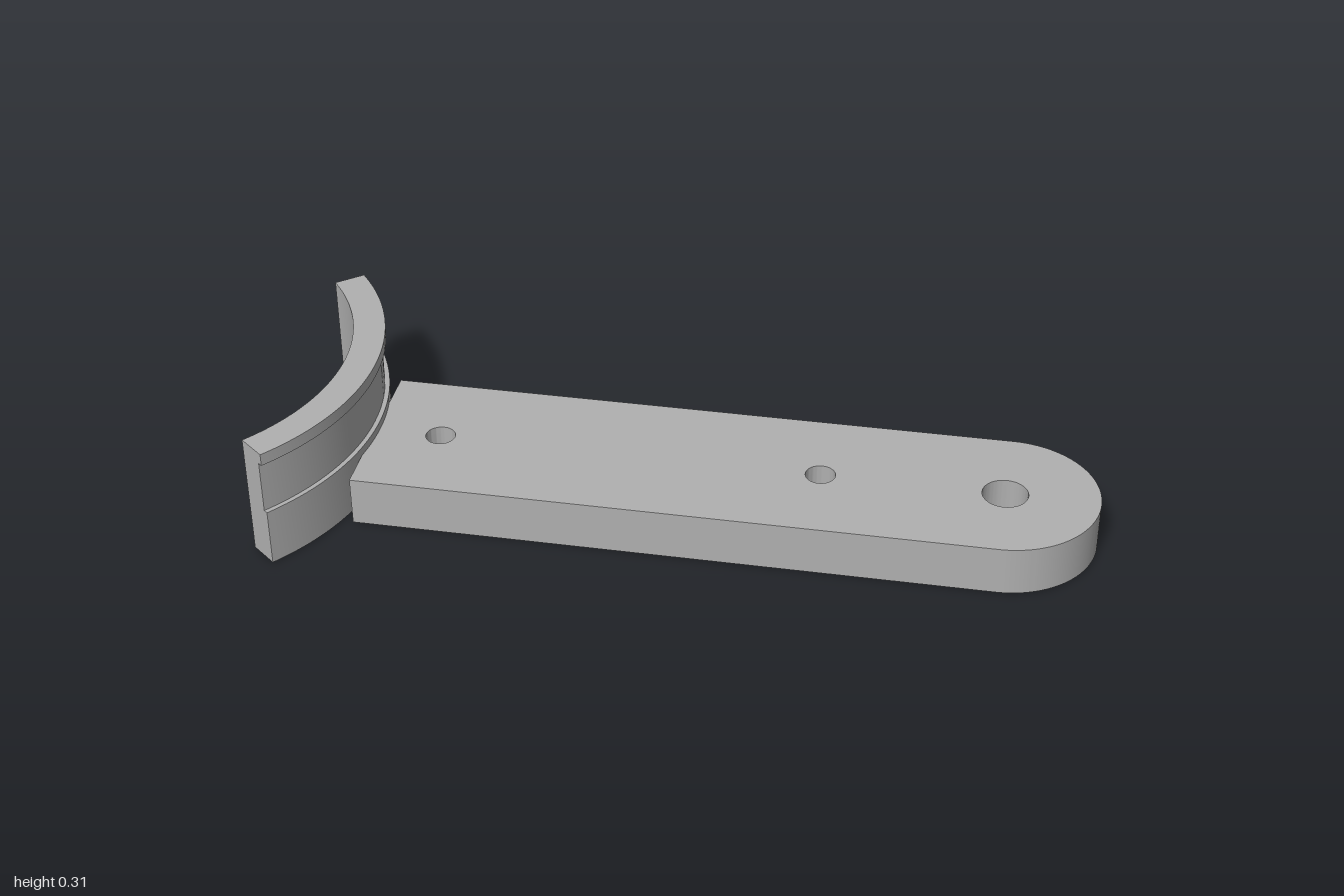
import * as THREE from 'three';
import { toCreasedNormals } from 'three/addons/utils/BufferGeometryUtils.js';

const PLATE_HEIGHT = 0.125, PLATE_HALF = 0.228, PLATE_BACK = -0.797;
const ARC_CENTER = -1.443, ARC_HALF_ANGLE = 0.695;

// Long bar with one rounded end and three through holes
function barGeometry() {
  const tip = 1 - PLATE_HALF;
  const shape = new THREE.Shape();
  shape.moveTo(PLATE_BACK, -PLATE_HALF);
  shape.lineTo(tip, -PLATE_HALF);
  shape.absarc(tip, 0, PLATE_HALF, -Math.PI / 2, Math.PI / 2, false);
  shape.lineTo(PLATE_BACK, PLATE_HALF);
  shape.closePath();
  for (const [x, r] of [[-0.63, 0.037], [0.322, 0.037], [0.77, 0.056]]) {
    const hole = new THREE.Path();
    hole.absarc(x, 0, r, 0, Math.PI * 2, true);
    shape.holes.push(hole);
  }
  const geometry = new THREE.ExtrudeGeometry(shape, {
    depth: PLATE_HEIGHT, bevelEnabled: false, curveSegments: 40,
  });
  geometry.rotateX(-Math.PI / 2);
  return toCreasedNormals(geometry, 0.5);
}

// Cross-section of the curved wall (radius, height), grooved on its outer face
const wallProfile = [
  [0.577, 0], [0.657, 0], [0.657, 0.146], [0.645, 0.146],
  [0.645, 0.281], [0.657, 0.281], [0.657, 0.312], [0.577, 0.312],
];

export function createModel() {
  const model = new THREE.Group();
  const grey = new THREE.MeshStandardMaterial({ color: 0xb0b0b0 });
  grey.name = 'grey';

  const add = (name, geometry, parent) => {
    const mesh = new THREE.Mesh(geometry, grey);
    mesh.name = name;
    parent.add(mesh);
  };

  add('mountingBar', barGeometry(), model);

  // Curved wall swept around an axis beyond the square end of the bar
  const cradle = new THREE.Group();
  cradle.name = 'curvedCradle';
  cradle.position.x = ARC_CENTER;
  model.add(cradle);

  const points = [...wallProfile, wallProfile[0]].map(([r, y]) => new THREE.Vector2(r, y));
  const sweep = new THREE.LatheGeometry(
    points, 48, Math.PI / 2 - ARC_HALF_ANGLE, 2 * ARC_HALF_ANGLE);
  add('cradleWall', toCreasedNormals(sweep, 0.5), cradle);

  // Flat ends of the wall, each facing outward
  for (const side of [1, -1]) {
    const section = new THREE.Shape(wallProfile.map(([r, y]) => new THREE.Vector2(side * r, y)));
    const cap = new THREE.ShapeGeometry(section);
    cap.rotateY((side < 0 ? Math.PI : 0) - side * ARC_HALF_ANGLE);
    add(side > 0 ? 'frontEndCap' : 'backEndCap', cap, cradle);
  }

  return model;
}
